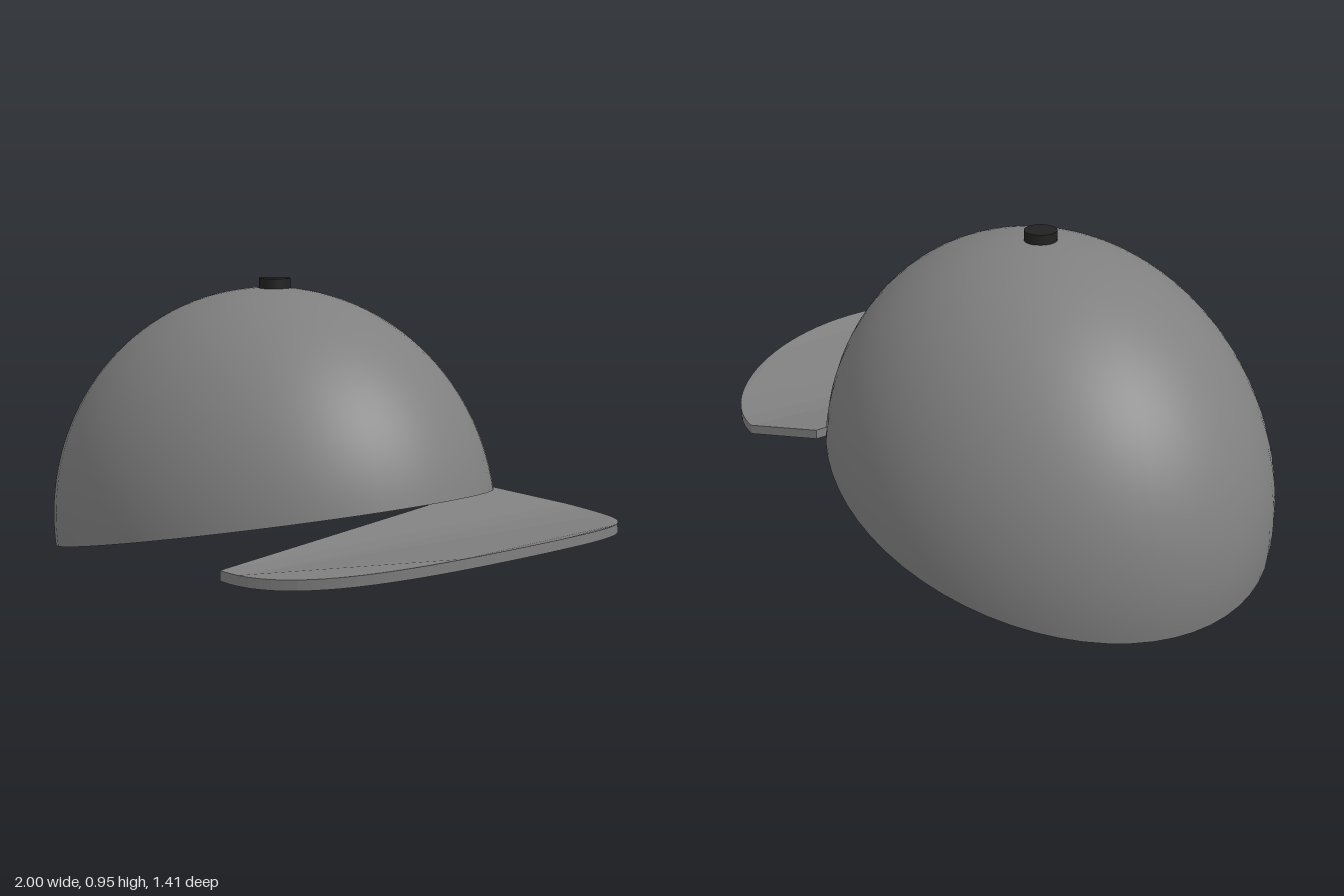
import * as THREE from 'three';
import { toCreasedNormals } from 'three/addons/utils/BufferGeometryUtils.js';

const fabric = new THREE.MeshStandardMaterial({ color: 0x808080, side: THREE.DoubleSide });
const dark = new THREE.MeshStandardMaterial({ color: 0x222222 });

function addMesh(group, name, geometry, material) {
  const mesh = new THREE.Mesh(geometry, material);
  mesh.name = name;
  group.add(mesh);
  return mesh;
}

// Quarter-circle profile from the rim (t = 0) to the apex (t = 1)
function arc(radius, steps, t0, t1) {
  return Array.from({ length: steps + 1 }, (_, i) => {
    const a = (t0 + ((t1 - t0) * i) / steps) * Math.PI / 2;
    return new THREE.Vector2(Math.max(0, radius * Math.cos(a)), radius * Math.sin(a));
  });
}

// Thin half ellipsoid: inner wall, flat rim and outer wall in one profile
function crownGeometry() {
  const profile = [...arc(0.975, 32, 1, 0), ...arc(1, 32, 0, 1)];
  const geometry = new THREE.LatheGeometry(profile, 64);
  geometry.scale(0.806, 0.748, 0.65);
  return toCreasedNormals(geometry, 0.7);
}

// Flat plate with clipped rear corners, its outline drooping towards the sides
function brimGeometry() {
  const thickness = 0.03;
  const shape = new THREE.Shape();
  shape.moveTo(0.24, -0.575);
  shape.absellipse(0.46, 0, 0.54, 0.705, -Math.PI / 2, Math.PI / 2);
  shape.lineTo(0.24, 0.575);
  const geometry = new THREE.ExtrudeGeometry(shape, {
    depth: thickness, bevelEnabled: false, curveSegments: 24,
  });
  geometry.rotateX(-Math.PI / 2);
  const p = geometry.attributes.position;
  for (let i = 0; i < p.count; i++) {
    const x = p.getX(i), z = p.getZ(i);
    p.setY(i, p.getY(i) - thickness + 0.337 - 0.047 * x - 0.185 * z * z);
  }
  geometry.computeVertexNormals();
  return geometry;
}

export function createModel() {
  const group = new THREE.Group();
  group.name = 'cap';

  // Crown, tipped back so the rim rises towards the brim
  const crown = addMesh(group, 'crown', crownGeometry(), fabric);
  crown.position.set(-0.197, 0.17, 0);
  crown.rotation.z = THREE.MathUtils.degToRad(12);

  addMesh(group, 'brim', brimGeometry(), fabric);

  // Button on the highest point of the crown
  const button = addMesh(group, 'topButton', new THREE.CylinderGeometry(0.05, 0.05, 0.04, 24), dark);
  button.position.set(-0.165, 0.93, 0);

  return group;
}
